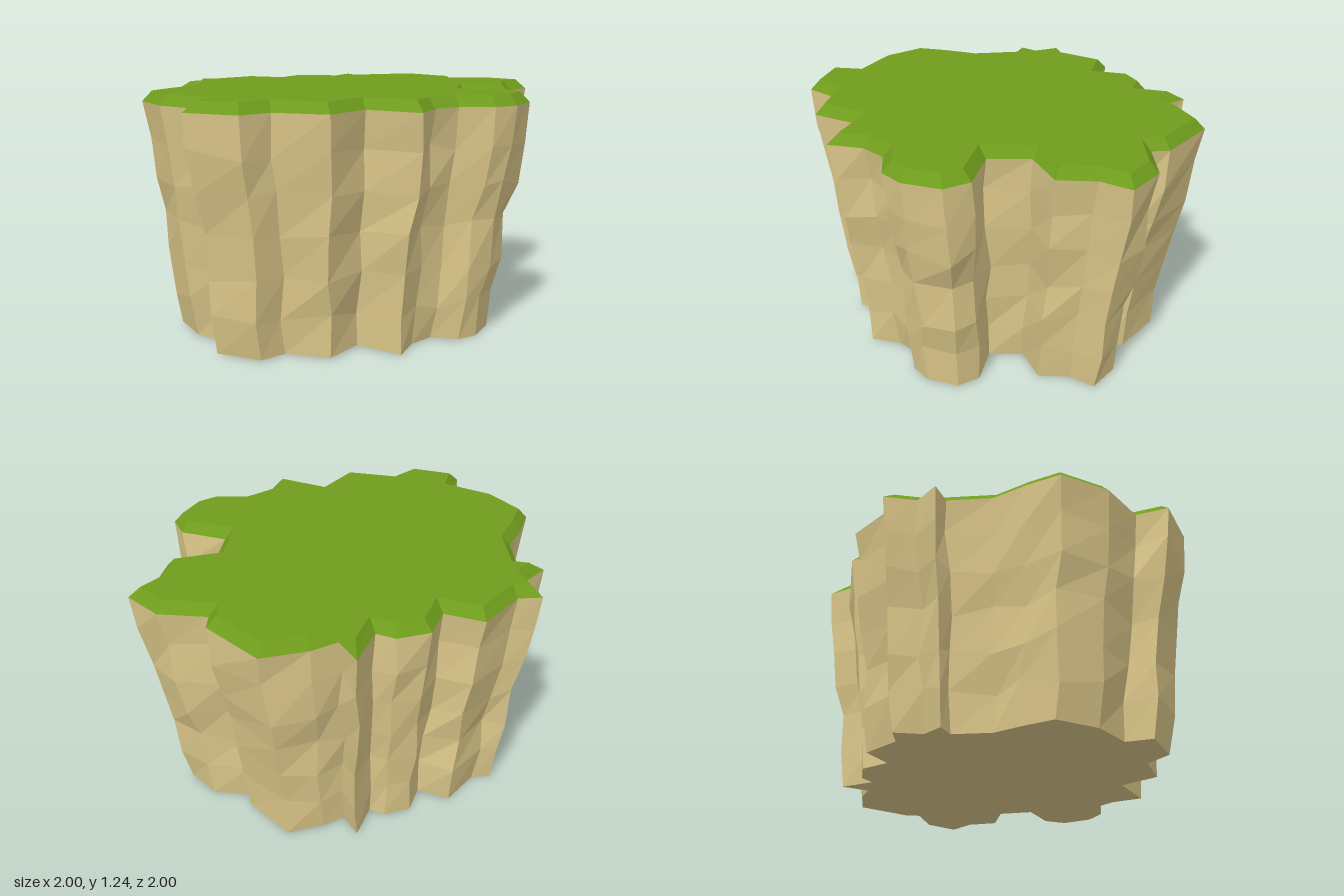
import * as THREE from 'three';

// Jagged cliff outline at the rim, as x, z pairs (clockwise seen from above)
const RIM = [
  -1, 0.4, -0.94, 0.23, -0.86, 0.06, -0.87, -0.17, -0.99, -0.2, -0.89, -0.31, -0.94, -0.47,
  -0.82, -0.48, -0.65, -0.69, -0.46, -0.62, -0.4, -0.78, -0.24, -0.83, -0.15, -0.79, -0.07, -1,
  0.01, -0.86, 0.13, -0.93, 0.35, -0.99, 0.6, -0.75, 0.6, -0.66, 0.84, -0.64, 1, -0.49,
  0.9, -0.36, 0.87, -0.17, 0.64, -0.1, 0.62, 0.11, 0.86, 0.19, 0.92, 0.32, 0.84, 0.5,
  0.73, 0.58, 0.56, 0.58, 0.45, 0.67, 0.39, 0.85, 0.13, 0.73, -0.01, 0.94, -0.28, 0.88,
  -0.4, 1, -0.67, 0.91, -0.63, 0.75, -0.85, 0.62,
];
const outline = [];
for (let i = 0; i < RIM.length; i += 2) outline.push(new THREE.Vector2(RIM[i], RIM[i + 1]));
const N = outline.length;
const RIM_Y = 1.185, TOP_Y = 1.237;

// Seeded random in -1..1 for the rock wobble
let seed = 7;
const wobble = () => {
  seed = (seed * 16807) % 2147483647;
  return (seed / 2147483647) * 2 - 1;
};

// Mitred inset of the outline, limited at sharp corners
function inset(points, d) {
  return points.map((p, i) => {
    const a = p.clone().sub(points[(i + N - 1) % N]).normalize();
    const b = points[(i + 1) % N].clone().sub(p).normalize();
    const na = new THREE.Vector2(-a.y, a.x), nb = new THREE.Vector2(-b.y, b.x);
    const m = na.add(nb).normalize();
    return p.clone().addScaledVector(m, Math.min(d / Math.max(m.dot(nb), 0.1), 0.1));
  });
}

// Joins stacked rings with outward-facing quads
function wallTriangles(rings, out) {
  for (let r = 0; r < rings.length - 1; r++) {
    for (let i = 0; i < N; i++) {
      const j = (i + 1) % N, lo = rings[r], hi = rings[r + 1];
      out.push(lo[j], lo[i], hi[i], lo[j], hi[i], hi[j]);
    }
  }
}

// Closes a ring with a flat cap facing up (1) or down (-1)
function capTriangles(ring, facing, out) {
  const flat = ring.map((v) => new THREE.Vector2(v.x, v.z));
  for (const [a, b, c] of THREE.ShapeUtils.triangulateShape(flat, [])) {
    const A = ring[a], B = ring[b], C = ring[c];
    const ny = (B.z - A.z) * (C.x - A.x) - (B.x - A.x) * (C.z - A.z);
    if (ny * facing > 0) out.push(A, B, C);
    else out.push(A, C, B);
  }
}

function makeMesh(name, triangles, color) {
  const geometry = new THREE.BufferGeometry().setFromPoints(triangles);
  geometry.computeVertexNormals();
  const mesh = new THREE.Mesh(geometry, new THREE.MeshStandardMaterial({ color, flatShading: true }));
  mesh.name = name;
  return mesh;
}

export function createModel() {
  const group = new THREE.Group();
  group.name = 'grassyCliff';

  // Rock walls: rings that widen towards the rim, roughened in between
  const levels = [[0, 0.835], [0.2, 0.86], [0.4, 0.885], [0.6, 0.91], [0.8, 0.95], [1, 0.975], [RIM_Y, 1]];
  const rings = levels.map(([y, s], k) => {
    const rough = k > 0 && k < levels.length - 1 ? 1 : 0;
    const shift = -0.02 * (1 - y / RIM_Y);
    return outline.map((p) => new THREE.Vector3(
      p.x * s + shift + wobble() * 0.016 * rough,
      y + (k === 0 ? 0.005 + wobble() * 0.005 : wobble() * 0.03 * rough),
      p.y * s + wobble() * 0.016 * rough,
    ));
  });
  const rock = [];
  wallTriangles(rings, rock);
  capTriangles(rings[0], -1, rock);
  group.add(makeMesh('rockBody', rock, 0xdcc88a));

  // Grass: sloped border and flat top
  const rim = rings[rings.length - 1];
  const top = inset(outline, 0.045).map((p) => new THREE.Vector3(p.x, TOP_Y, p.y));
  const border = [], lawn = [];
  wallTriangles([rim, top], border);
  capTriangles(top, 1, lawn);
  group.add(makeMesh('grassBorder', border, 0x6f9c1c));
  group.add(makeMesh('grassTop', lawn, 0x6f9c1c));

  return group;
}
